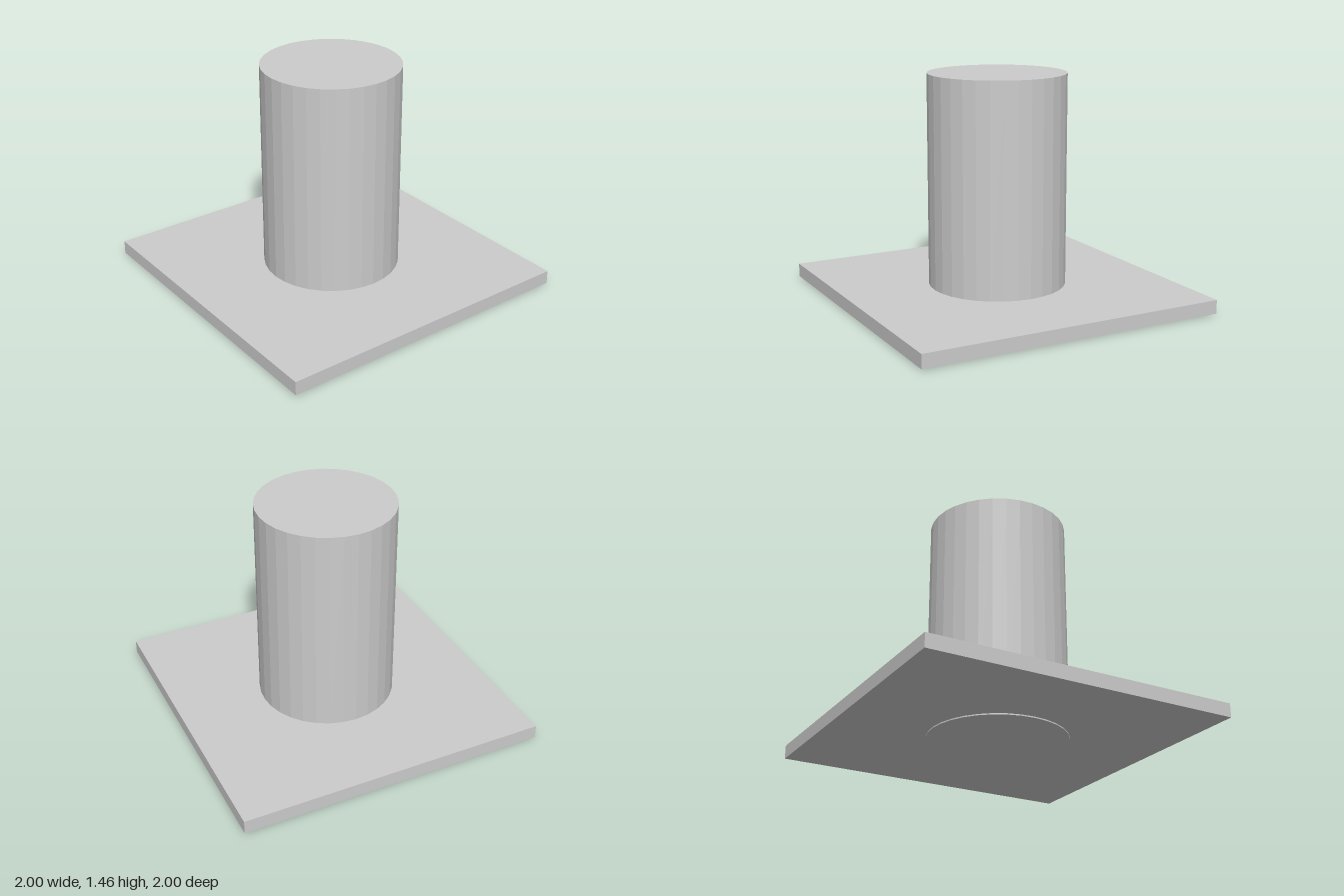
import * as THREE from 'three';

export function createModel() {
  const group = new THREE.Group();
  const material = new THREE.MeshStandardMaterial({ color: 0xcccccc, flatShading: true });

  // Adds a named part resting at the given height
  const addPart = (name, geometry, bottom, height) => {
    const mesh = new THREE.Mesh(geometry, material);
    mesh.name = name;
    mesh.position.y = bottom + height / 2;
    group.add(mesh);
  };

  // Square base plate
  const plateHeight = 0.088;
  addPart('basePlate', new THREE.BoxGeometry(2, plateHeight, 2), 0.008, plateHeight);

  // Faceted column, passing through the plate and just proud of its underside
  const columnHeight = 1.456;
  addPart('column', new THREE.CylinderGeometry(0.442, 0.442, columnHeight, 32), 0, columnHeight);

  return group;
}
